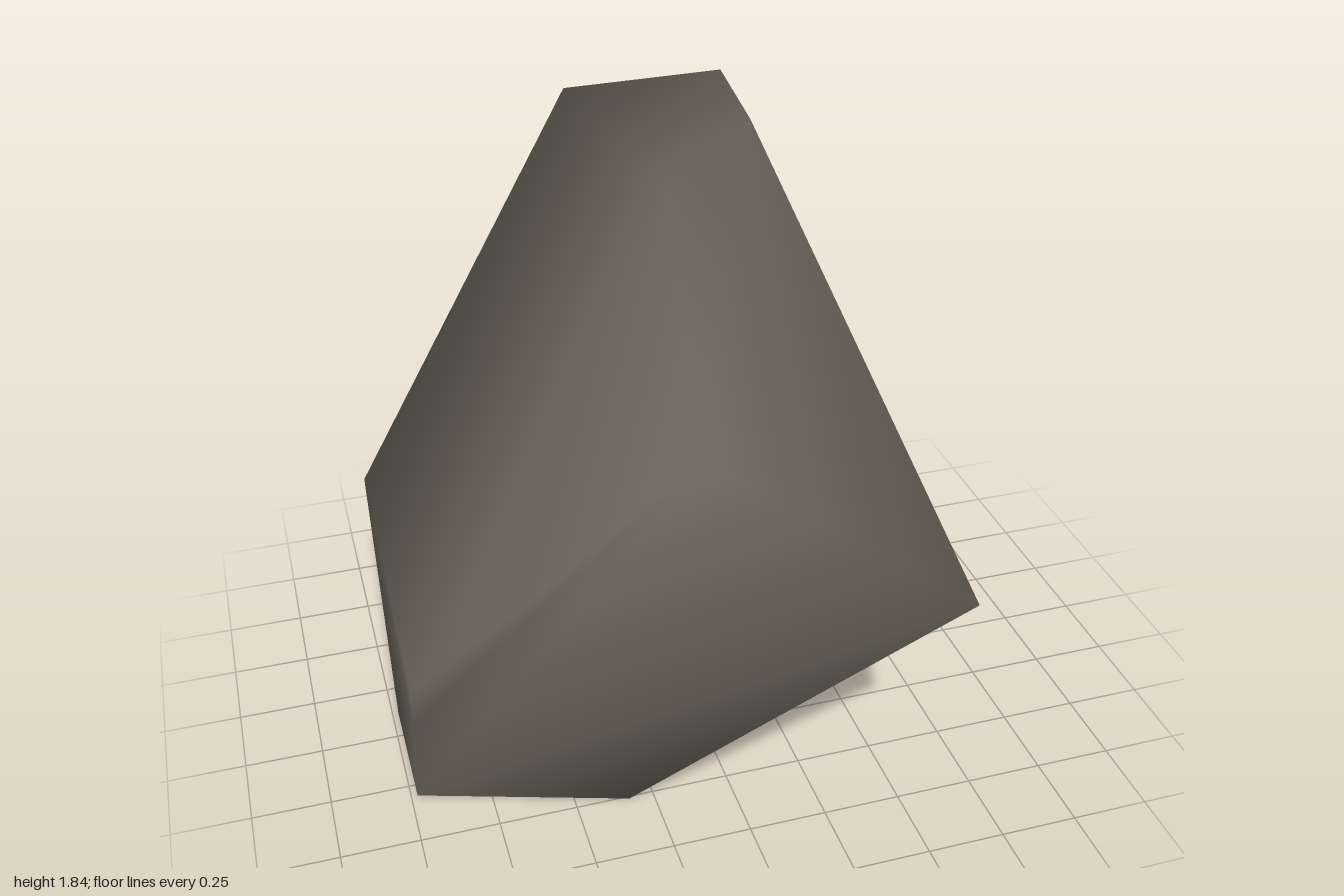
import * as THREE from 'three';
import { ConvexGeometry } from 'three/addons/geometries/ConvexGeometry.js';
import { mergeVertices } from 'three/addons/utils/BufferGeometryUtils.js';

export function createModel() {
  const group = new THREE.Group();
  group.name = 'boulder';

  // Corners of the stone, from the crown down to the base
  const corners = [
    // crown
    [-0.12, 1.83, -1.0], [0.44, 1.84, -1.0], [0.39, 1.835, -0.53], [-0.03, 1.83, -0.06],
    // front shoulder and nose
    [-0.2, 1.46, 0.85], [0.57, 0.94, 1.0],
    // rear tail
    [0.915, 0.81, -1.0], [0.975, 0.62, -0.79],
    // flank on the -x side
    [-0.96, 0.59, -0.7], [-0.97, 0.47, 0.36], [-0.975, 0.36, 0.37],
    // base
    [-0.98, 0, 0.3], [-0.98, 0, -0.12], [-0.33, 0, 0.51], [-0.02, 0.01, -0.12],
  ].map((p) => new THREE.Vector3(...p));

  // Shared vertices give one smooth shade over the facets
  let geometry = new ConvexGeometry(corners);
  geometry.deleteAttribute('normal');
  geometry = mergeVertices(geometry, 1e-4);
  geometry.computeVertexNormals();

  const stone = new THREE.MeshStandardMaterial({ color: 0x6b665c });
  stone.name = 'stone';
  const rock = new THREE.Mesh(geometry, stone);
  rock.name = 'rock';
  group.add(rock);
  return group;
}
